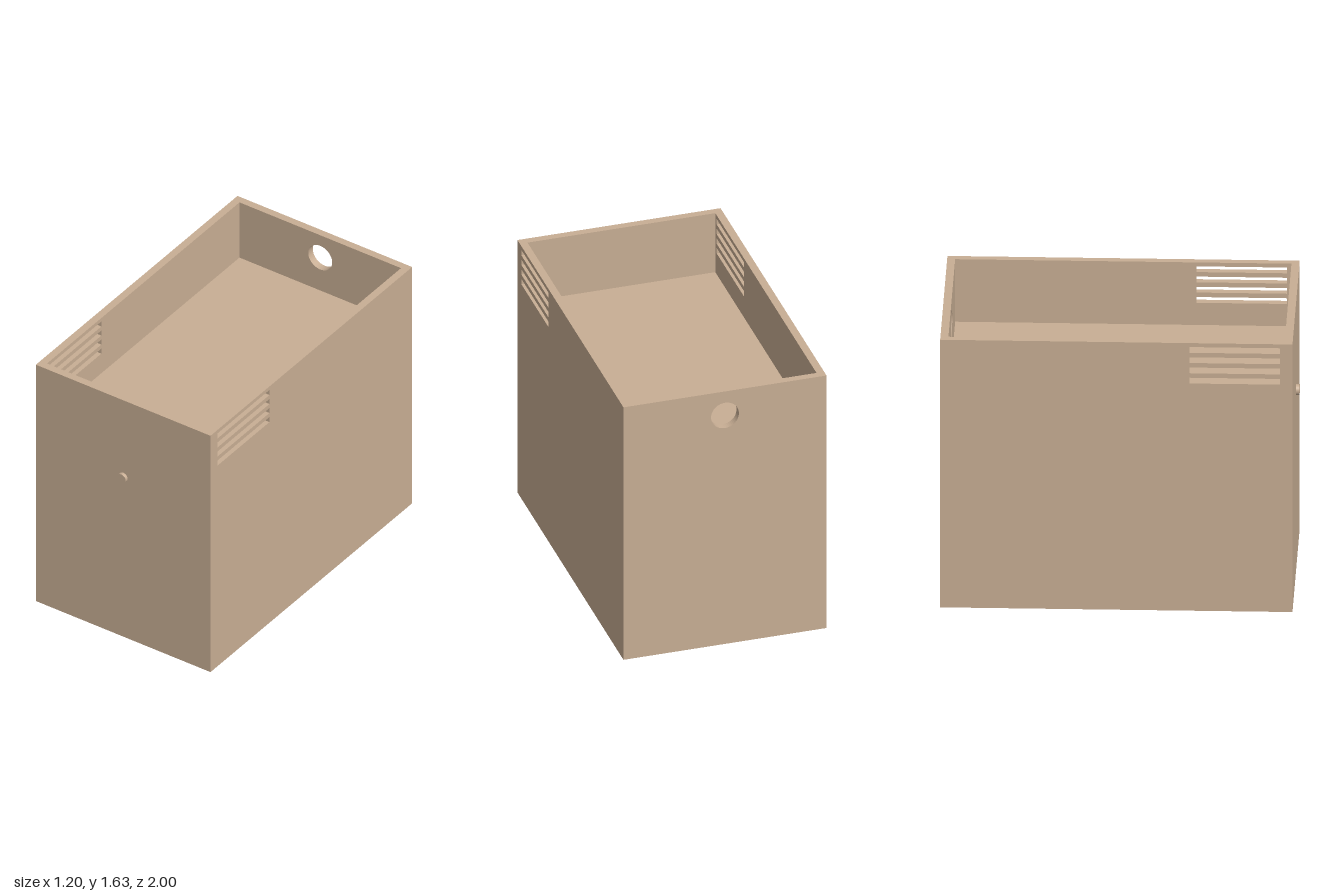
import * as THREE from 'three';

const W = 0.598, H = 1.635, FRONT = 0.98, BACK = -1, T = 0.045, FLOOR = 1.253;

function rectangle(path, x0, x1, y0, y1) {
  path.moveTo(x0, y0);
  path.lineTo(x1, y0);
  path.lineTo(x1, y1);
  path.lineTo(x0, y1);
  path.closePath();
  return path;
}

function panel(shape) {
  return new THREE.ExtrudeGeometry(shape, { depth: T, bevelEnabled: false, curveSegments: 24 });
}

export function createModel() {
  const group = new THREE.Group();
  const tan = new THREE.MeshStandardMaterial({ color: 0xc8ae94 });
  tan.name = 'tan';

  const add = (name, geometry, x = 0, y = 0, z = 0) => {
    const mesh = new THREE.Mesh(geometry, tan);
    mesh.name = name;
    mesh.position.set(x, y, z);
    group.add(mesh);
  };

  // side walls, each with four vent slots near the front top corner
  const side = rectangle(new THREE.Shape(), BACK, FRONT, 0, H);
  for (let i = 0; i < 4; i++) {
    const y = 1.406 + i * 0.0625;
    side.holes.push(rectangle(new THREE.Path(), 0.401, 0.909, y - 0.0175, y + 0.0175));
  }
  const sideGeometry = panel(side).rotateY(-Math.PI / 2);
  add('leftWall', sideGeometry, W);
  add('rightWall', sideGeometry, -W + T);

  // front wall, and back wall with a round cable hole
  const inner = W - T;
  const front = rectangle(new THREE.Shape(), -inner, inner, 0, H);
  add('frontWall', panel(front), 0, 0, FRONT - T);
  const back = rectangle(new THREE.Shape(), -inner, inner, 0, H);
  back.holes.push(new THREE.Path().absarc(0, 1.48, 0.082, 0, Math.PI * 2, true));
  add('backWall', panel(back), 0, 0, BACK);

  // solid base whose top is the raised tray floor
  add('base', new THREE.BoxGeometry(inner * 2, FLOOR, FRONT - BACK - 2 * T),
    0, FLOOR / 2, (FRONT + BACK) / 2);

  // small round button on the front
  add('button', new THREE.CylinderGeometry(0.031, 0.031, 0.03, 32).rotateX(Math.PI / 2), 0, 1.103, 0.985);

  return group;
}
